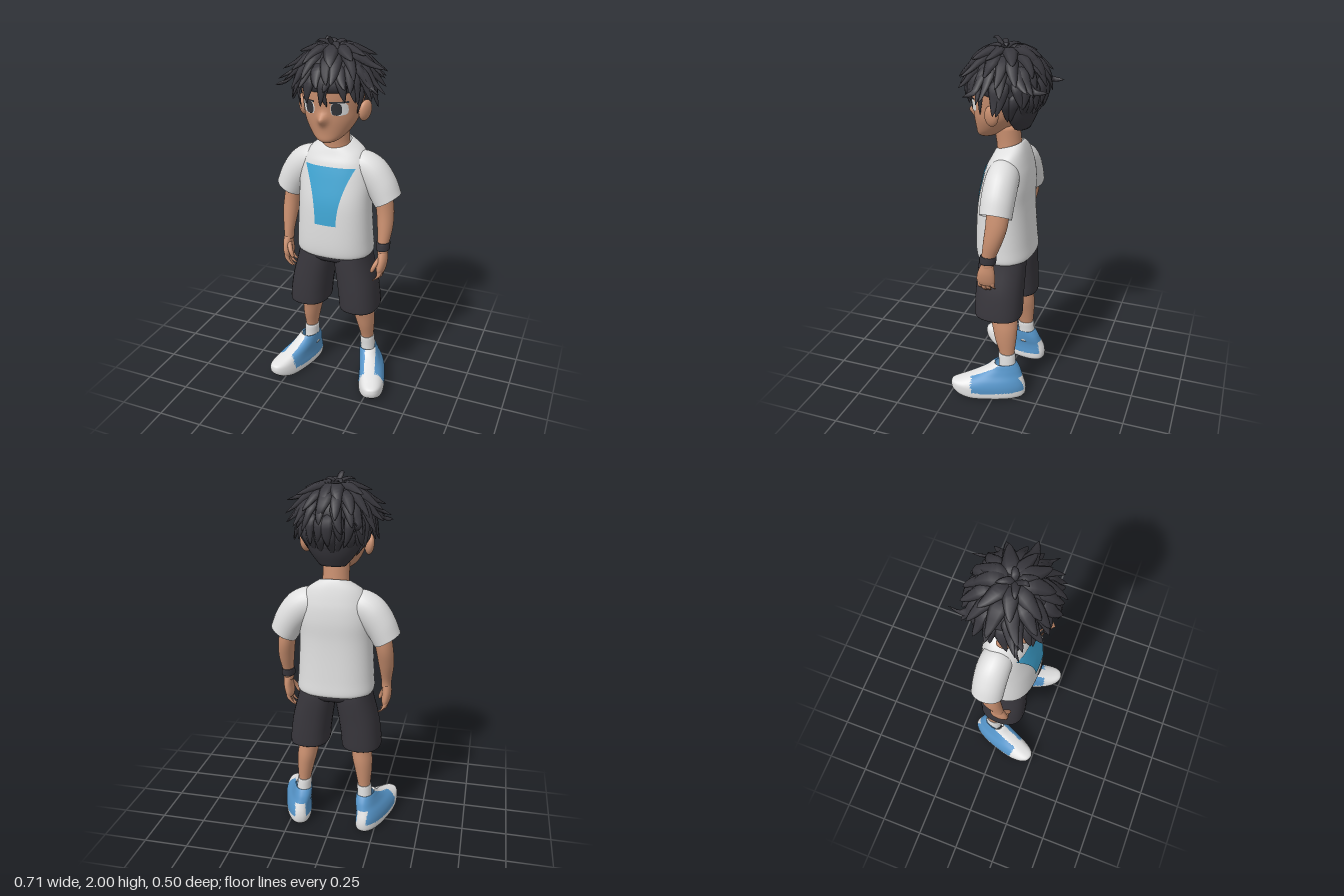
import * as THREE from 'three';

const paint = (name, color, side = THREE.FrontSide) => {
  const m = new THREE.MeshStandardMaterial({ color, side });
  m.name = name;
  return m;
};
const V = (x, y, z) => new THREE.Vector3(x, y, z);

// Smooth a short list of cross-sections [x, y, z, radiusX, radiusZ, tilt]
function smooth(sections, steps = 5) {
  const a = new THREE.CatmullRomCurve3(sections.map(s => V(s[0], s[1], s[2])), false, 'catmullrom');
  const b = new THREE.CatmullRomCurve3(sections.map(s => V(s[3], s[4], s[5] || 0)), false, 'catmullrom');
  const n = (sections.length - 1) * steps;
  return Array.from({ length: n + 1 }, (_, i) => [...a.getPoint(i / n).toArray(), ...b.getPoint(i / n).toArray()]);
}

// Surface through rows of ring points; pick(centroid) chooses a material group
function skinRows(rows, pick) {
  const k = rows[0].length, pts = rows.flat(), groups = [[], []];
  const add = (...t) => {
    const c = V(0, 0, 0);
    t.forEach(i => c.addScaledVector(pts[i], 1 / 3));
    groups[pick ? pick(c) : 0].push(...t);
  };
  for (let i = 0; i < rows.length - 1; i++) for (let j = 0; j < k; j++) {
    const a = i * k + j, b = i * k + (j + 1) % k, c = a + k, d = b + k;
    add(a, c, b);
    add(b, c, d);
  }
  const g = new THREE.BufferGeometry().setFromPoints(pts);
  g.setIndex(groups.flat());
  if (pick) {
    g.addGroup(0, groups[0].length, 0);
    g.addGroup(groups[0].length, groups[1].length, 1);
  }
  g.computeVertexNormals();
  return g;
}

// Loft of superellipse rings listed from bottom to top
function loft(sections, { e = 2, seg = 28, cap = true, warp, pick, steps } = {}) {
  const sp = v => Math.sign(v) * Math.abs(v) ** (2 / e);
  const rows = smooth(sections, steps).map(([x, y, z, rx, rz, tilt]) => Array.from({ length: seg }, (_, j) => {
    const q = j / seg * Math.PI * 2, u = sp(Math.cos(q)) * rx;
    const p = V(x + u * Math.cos(tilt), y + u * Math.sin(tilt), z + sp(Math.sin(q)) * rz);
    if (warp) warp(p);
    return p;
  }));
  if (cap) {
    const closed = r => {
      const c = r.reduce((s, p) => s.addScaledVector(p, 1 / seg), V(0, 0, 0));
      return r.map(() => c.clone());
    };
    rows.unshift(closed(rows[0]));
    rows.push(closed(rows[rows.length - 1]));
  }
  return skinRows(rows, pick);
}

// Thin patch lying on the front of a loft
function decal(sections, e, cx, y0, y1, halfWidth, lift) {
  const rows = smooth(sections, 8), g = new THREE.PlaneGeometry(2, 1, 14, 14), p = g.attributes.position;
  for (let i = 0; i < p.count; i++) {
    const v = p.getY(i) + 0.5, x = cx + p.getX(i) * halfWidth(v), y = y0 + (y1 - y0) * v;
    const n = Math.max(1, rows.findIndex(r => r[1] >= y)), a = rows[n - 1], b = rows[n];
    const t = (y - a[1]) / (b[1] - a[1]), [cz, rx, rz] = [2, 3, 4].map(m => a[m] + (b[m] - a[m]) * t);
    p.setXYZ(i, x, y, cz + rz * (1 - Math.min(1, Math.abs(x / rx)) ** e) ** (1 / e) + lift);
  }
  g.computeVertexNormals();
  return g;
}

// Pointed, flattened lock of hair along a path
const hairCentre = V(0, 1.775, 0.005);
function lock(points, width) {
  const curve = new THREE.CatmullRomCurve3(points), rows = [];
  for (let i = 0; i <= 10; i++) {
    const t = i / 10, p = curve.getPoint(t), T = curve.getTangent(t);
    const N = p.clone().sub(hairCentre);
    N.addScaledVector(T, -N.dot(T)).normalize();
    const B = T.clone().cross(N), w = i === 0 ? 0.001 : width * Math.min(1, 0.55 + 1.6 * t) * (1 - t) ** 0.65 + 0.0005;
    rows.push(Array.from({ length: 6 }, (_, j) => {
      const q = j / 6 * Math.PI * 2;
      return p.clone().addScaledVector(B, Math.cos(q) * w).addScaledVector(N, Math.sin(q) * w * 0.5);
    }));
  }
  return skinRows(rows);
}

export function createModel() {
  const model = new THREE.Group();
  model.name = 'boy';
  const D = THREE.DoubleSide;
  const skin = paint('skin', 0xc98f6f), hairMat = paint('hair', 0x38373d), shirt = paint('shirt', 0xdedede, D);
  const badge = paint('badgeBlue', 0x3fa5d3, D), cloth = paint('shortsCharcoal', 0x38363c, D);
  const shoeBlue = paint('shoeBlue', 0x5594c8, D), white = paint('white', 0xe2e2e2, D);
  const sole = paint('soleBlack', 0x1d1d20), iris = paint('iris', 0x36373c, D);
  const add = (name, geo, mat, parent = model) => {
    const m = new THREE.Mesh(geo, mat);
    m.name = name;
    parent.add(m);
    return m;
  };
  const flip = (s, list) => list.map(([x, y, z, rx, rz, t = 0]) => [s * x, y, z, rx, rz, s * t]);

  // Head with a small nose, and neck
  const headRings = [[0, 1.485, .13, .025, .025], [0, 1.502, .112, .062, .056], [0, 1.54, .082, .102, .09],
    [0, 1.6, .055, .137, .125], [0, 1.66, .04, .151, .145], [0, 1.74, .03, .163, .163],
    [0, 1.82, .02, .163, .17], [0, 1.9, .01, .12, .13], [0, 1.94, 0, .03, .03]];
  add('head', loft(headRings, { seg: 64, warp: p => {
    if (p.z > 0.08) p.z += 0.038 * Math.exp(-((p.x / 0.022) ** 2) - ((p.y - 1.615) / 0.028) ** 2);
  } }), skin);
  add('neck', loft([[0, 1.38, -.012, .085, .075], [0, 1.45, -.005, .072, .066], [0, 1.56, .01, .072, .07]]), skin);

  // Shirt body, with the collar sloping down to the front
  const torso = [[0, .83, 0, .205, .148], [0, .85, .003, .214, .158], [0, .92, .008, .21, .157], [0, 1.05, .01, .203, .15],
    [0, 1.15, .007, .2, .143], [0, 1.25, -.005, .2, .132], [0, 1.34, -.012, .185, .115],
    [0, 1.405, -.014, .15, .092], [0, 1.445, -.012, .09, .074], [0, 1.45, -.012, .076, .064]];
  add('shirtBody', loft(torso, { e: 2.4, seg: 48, cap: false, warp: p => {
    p.y -= Math.max(0, p.y - 1.36) * p.z * 3.5;
  } }), shirt);
  add('chestPanel', decal(torso, 2.4, 0, 1.03, 1.34, v => .06 + .08 * v * v, .005), badge);

  // Shorts
  add('shortsWaist', loft([[0, .79, 0, .16, .115], [0, .82, 0, .2, .135], [0, .88, 0, .198, .135]], { e: 2.4 }), cloth);

  for (const s of [1, -1]) {
    const side = s > 0 ? 'left' : 'right';
    add(side + 'ShortsLeg', loft(flip(s, [[.15, .515, .007, .102, .122], [.15, .503, .007, .111, .132], [.143, .58, .006, .111, .134],
      [.13, .67, .004, .11, .133], [.106, .79, 0, .104, .131], [.1, .86, 0, .095, .125]]), { e: 2.4, cap: false }), cloth);

    // Sleeve, arm and hand
    add(side + 'Sleeve', loft(flip(s, [[.285, 1.15, -.027, .079, .086, .53], [.248, 1.225, -.027, .088, .088, .7],
      [.19, 1.295, -.025, .094, .088, .85], [.12, 1.335, -.02, .088, .08, 1], [.06, 1.35, -.015, .06, .05, 1.1]]), { cap: false }), shirt);
    add(side + 'Arm', loft(flip(s, [[.28, .85, .024, .027, .034], [.28, .9, .018, .029, .036], [.28, 1, -.008, .042, .05],
      [.27, 1.1, -.028, .047, .059], [.245, 1.22, -.03, .05, .06]])), skin);
    add(side + 'Palm', loft(flip(s, [[.275, .745, .032, .018, .045], [.278, .775, .032, .025, .052], [.283, .82, .028, .026, .047],
      [.28, .87, .022, .026, .033]])), skin);
    for (let f = 0; f < 4; f++) {
      const z = -.003 + f * .0235, drop = [.012, 0, -.004, .006][f];
      add(side + 'Finger', loft(flip(s, [[.243, .695 + drop, z, .006, .007, .6], [.258, .705 + drop, z, .011, .012, .6],
        [.276, .73 + drop, z, .013, .013, .2], [.277, .775, z, .013, .013]]), { seg: 10 }), skin);
    }
    add(side + 'Thumb', loft(flip(s, [[.236, .752, .075, .006, .006], [.24, .765, .075, .012, .012], [.252, .795, .07, .014, .014],
      [.272, .835, .045, .014, .016]]), { seg: 10 }), skin);

    // Leg and sock
    add(side + 'Leg', loft(flip(s, [[.18, .2, -.052, .036, .043], [.177, .26, -.05, .036, .044], [.17, .35, -.04, .048, .062],
      [.161, .42, -.033, .056, .072], [.149, .5, -.02, .058, .079], [.13, .64, -.01, .068, .085]])), skin);
    add(side + 'Sock', loft(flip(s, [[.18, .13, -.055, .044, .052], [.18, .2, -.053, .041, .049], [.177, .25, -.05, .041, .049],
      [.177, .263, -.05, .038, .046]])), white);

    // Shoe: painted upper and a black sole, toe lifted
    const shoe = new THREE.Group();
    shoe.name = side + 'Shoe';
    shoe.position.set(s * .24, 0, .04);
    shoe.rotation.y = s * .3;
    model.add(shoe);
    const spring = p => { p.y += .04 * Math.max(0, (p.z - .07) / .145) ** 2 * Math.max(0, 1 - p.y / .16); };
    const isWhite = ({ x, y, z }) => y < .045 + .02 * Math.abs(z) || z > .1 || (y < .13 && z < -.165 && Math.abs(x) < .03)
      || (Math.abs(x + s * .012) < .03 && z > -.06 && y > .08);
    add('upper', loft(flip(s, [[0, .004, 0, .069, .204], [0, .02, 0, .076, .213], [0, .05, 0, .077, .215], [0, .08, -.003, .074, .207],
      [-.005, .11, -.025, .068, .175], [-.015, .14, -.058, .06, .132], [-.022, .17, -.083, .054, .095],
      [-.028, .2, -.092, .048, .066], [-.03, .195, -.094, .041, .056]]),
    { e: 2.4, seg: 64, cap: false, warp: spring, pick: c => isWhite(c) ? 1 : 0 }), [shoeBlue, white], shoe);
    add('sole', loft([[0, 0, 0, .064, .198], [0, .006, 0, .07, .206], [0, .012, 0, .07, .206]],
      { e: 2.4, seg: 48, warp: spring }), sole, shoe);

    // Ear and eye
    const ear = add(side + 'Ear', new THREE.SphereGeometry(1, 18, 14), skin);
    ear.scale.set(.024, .055, .042);
    ear.position.set(s * .17, 1.642, .032);
    ear.rotation.set(-.15, s * -.35, s * -.15);
    const oval = w => v => w * (1 - Math.abs(2 * v - 1) ** 3) ** (1 / 3) + .0005;
    add(side + 'EyeWhite', decal(headRings, 2, s * .081, 1.636, 1.706, oval(.038), .003), white);
    add(side + 'Iris', decal(headRings, 2, s * .071, 1.639, 1.703, oval(.023), .006), iris);
    add(side + 'Lash', decal(headRings, 2, s * .082, 1.702, 1.711, () => .042, .007), iris);
  }

  // Wristband
  add('wristband', loft([[.28, .878, .02, .034, .042], [.28, .884, .02, .037, .045], [.28, .916, .016, .037, .045],
    [.28, .922, .016, .034, .042]]), cloth);

  // Hair: cap, then layered locks around the crown
  const hair = new THREE.Group();
  hair.name = 'hair';
  model.add(hair);
  add('hairCap', loft([[0, 1.55, -.075, .07, .04], [0, 1.62, -.068, .125, .08], [0, 1.7, -.05, .163, .118], [0, 1.755, .015, .178, .184],
    [0, 1.82, .012, .185, .187], [0, 1.88, .01, .155, .16], [0, 1.93, .01, .09, .1], [0, 1.95, .01, .02, .02]]), hairMat, hair);
  let seed = 7;
  const rand = () => (seed = (seed * 16807) % 2147483647) / 2147483647;
  const at = (az, el, out) => V(Math.sin(az) * Math.cos(el) * (.187 + out), Math.sin(el) * (.178 + out), Math.cos(az) * Math.cos(el) * (.195 + out)).add(hairCentre);
  const ring = (count, from, to, el0, el1, flick, width, droop = 0) => {
    for (let i = 0; i < count; i++) {
      const az = from + (to - from) * (i + .5 + (rand() - .5) * .5) / count, swing = (rand() - .5) * .35;
      const end = el1 + (rand() - .5) * .22, sides = Math.sin(az) ** 2, back = Math.max(0, -Math.cos(az));
      const out = flick * (.5 + .6 * sides - .15 * back) * (.75 + rand() * .5);
      const tip = at(az + swing, end, out);
      tip.y -= droop;
      add('hairLock', lock([at(az, el0, -.01), at(az + swing * .2, el0 + (end - el0) * .4, .008),
        at(az + swing * .5, el0 + (end - el0) * .75, .012 + out * .25), tip], width * (.85 + rand() * .3)), hairMat, hair);
    }
  };
  const P = Math.PI;
  ring(9, -P, P, 1.45, .6, .05, .05);
  ring(15, -P, P, 1.1, .2, .075, .046);
  ring(20, -P, P, .7, -.08, .085, .04);
  ring(11, -1.25, 1.25, .5, -.3, .05, .034, .012);
  ring(13, P - 1.75, P + 1.75, .3, -.45, .05, .04, .01);
  ring(11, P - 1.5, P + 1.5, -.1, -.85, .015, .036, .03);
  ring(7, P - 1, P + 1, -.5, -1.05, -.03, .03, .07);
  for (const s of [1, -1]) {
    // Long back spikes, side spikes and sideburns
    add('backSpike', lock([at(s * 2.3, .5, -.01), at(s * 2.35, .2, .01), V(s * .15, 1.775, -.18), V(s * .142, 1.775, -.252)], .034), hairMat, hair);
    add('sideSpike', lock([at(s * 1.2, .6, -.01), at(s * 1.2, .25, .02), V(s * .23, 1.77, .1), V(s * .275, 1.755, .14)], .034), hairMat, hair);
    add('sideburn', lock([at(s * 1.1, .1, -.01), V(s * .17, 1.73, .09), V(s * .163, 1.69, .095), V(s * .15, 1.635, .1)], .024), hairMat, hair);
  }
  // Centre fringe and crown tufts
  add('centreFringe', lock([at(0, .7, -.01), at(.05, .2, .015), V(.01, 1.75, .225), V(.005, 1.69, .222)], .032), hairMat, hair);
  for (const [x, y, z] of [[-.09, 1.975, .05], [-.02, 1.997, .09], [.055, 1.975, -.01], [.05, 1.96, .11], [-.04, 1.97, -.06]])
    add('crownTuft', lock([V(.01, 1.93, .02), V(x * .3, 1.965, .02 + (z - .02) * .3), V(x * .75, y, .02 + (z - .02) * .7), V(x, y - .01, z)], .026), hairMat, hair);
  return model;
}
